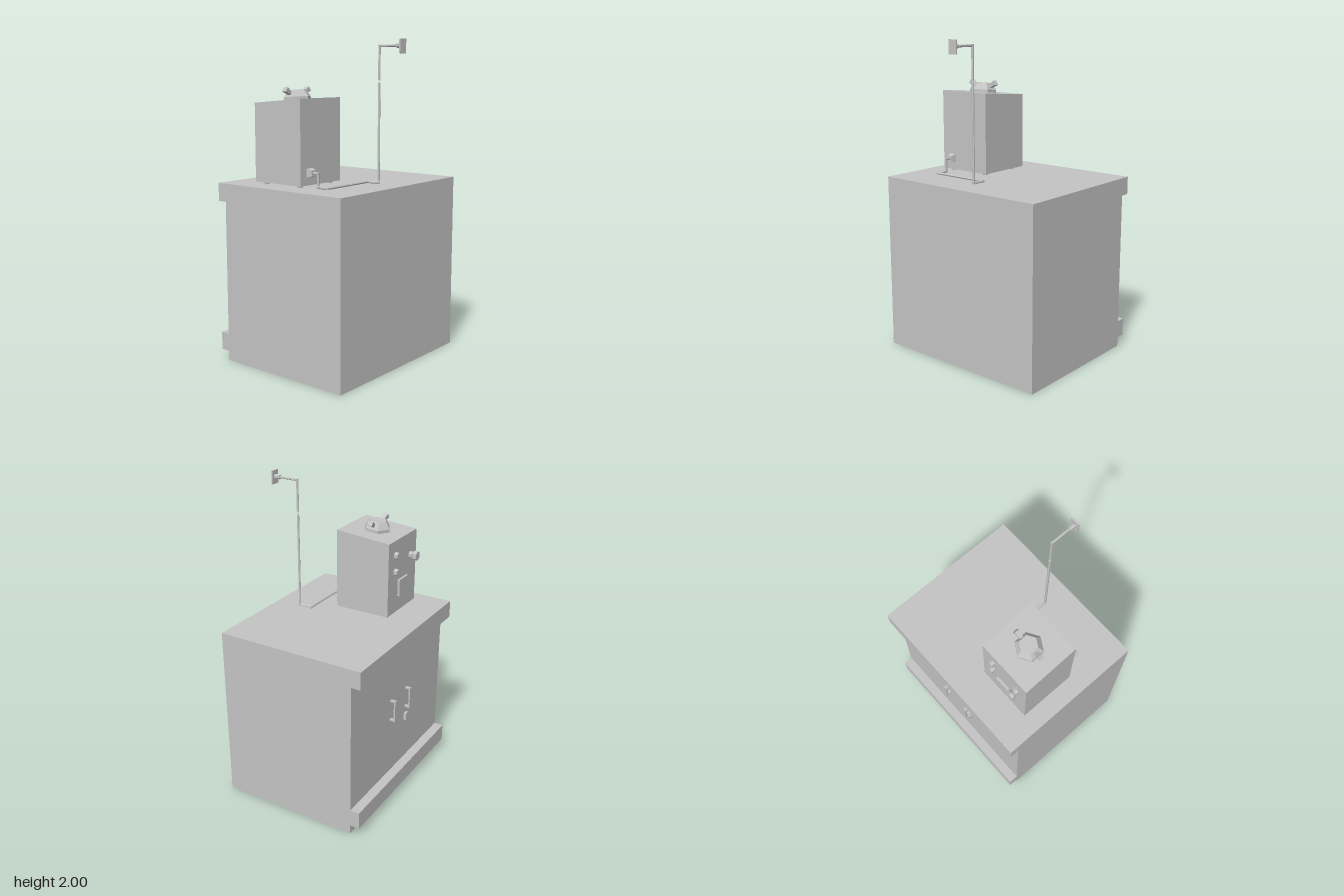
import * as THREE from 'three';

export function createModel() {
  const model = new THREE.Group();
  const grey = new THREE.MeshStandardMaterial({ color: 0xc4c4c4, flatShading: true });
  grey.name = 'light grey';

  const add = (name, geometry, x = 0, y = 0, z = 0, parent = model) => {
    const mesh = new THREE.Mesh(geometry, grey);
    mesh.name = name;
    mesh.position.set(x, y, z);
    parent.add(mesh);
    return mesh;
  };
  // box given by its limits on each axis
  const block = (name, [x0, x1], [y0, y1], [z0, z1], parent) =>
    add(name, new THREE.BoxGeometry(x1 - x0, y1 - y0, z1 - z0),
      (x0 + x1) / 2, (y0 + y1) / 2, (z0 + z1) / 2, parent);
  // side profile of [z, y] points, extruded from x0 to x1
  const sideExtrude = (points, x0, x1) => {
    const shape = new THREE.Shape(points.map(([z, y]) => new THREE.Vector2(-z, y)));
    return new THREE.ExtrudeGeometry(shape, { depth: x1 - x0, bevelEnabled: false })
      .rotateY(Math.PI / 2).translate(x0, 0, 0);
  };
  const group = (name) => {
    const g = new THREE.Group();
    g.name = name;
    model.add(g);
    return g;
  };

  // Cabinet with a projecting top edge and lower rail on the door side
  const W = 0.585, D = 0.486, top = 1.13;
  add('cabinetBody', sideExtrude([
    [D, 0.06], [D, top], [-D, top], [-D, 1.017], [-0.425, 1.017],
    [-0.425, 0.173], [-D, 0.173], [-D, 0.06],
  ], -W, W));

  // Thin skirt around the recessed underside
  const skirt = group('cabinetSkirt');
  const t = 0.006;
  block('skirtFront', [-W, W], [0, 0.06], [D - t, D], skirt);
  block('skirtBack', [-W, W], [0, 0.06], [-0.425, -0.425 + t], skirt);
  for (const s of [-1, 1]) {
    const xs = [s * W, s * (W - t)].sort((a, b) => a - b);
    block('skirtSide', xs, [0, 0.06], [-0.425 + t, D - t], skirt);
  }

  // Door handles and lock
  for (const x of [-0.1, 0.1]) {
    const handle = group('doorHandle');
    const xs = [x - 0.01, x + 0.01];
    block('handleGrip', xs, [0.555, 0.7], [-0.462, -0.452], handle);
    for (const y of [0.555, 0.69]) block('handlePost', xs, [y, y + 0.01], [-0.452, -0.42], handle);
  }
  block('doorLock', [-0.115, -0.085], [0.461, 0.511], [-0.442, -0.42]);

  // Machine housing with a sloping top, on four feet
  add('housing', sideExtrude([
    [0.092, 1.145], [0.092, 1.656], [-0.275, 1.624], [-0.275, 1.145],
  ], -0.47, -0.105));
  for (const x of [-0.425, -0.152]) for (const z of [0.047, -0.225])
    add('foot', new THREE.CylinderGeometry(0.018, 0.014, 0.018, 6), x, 1.138, z);

  // Hexagonal lid with two square flared grips
  const lid = group('lid');
  lid.position.set(-0.288, 1.639, -0.092);
  lid.rotation.x = -0.087;
  add('lidRim', new THREE.CylinderGeometry(0.086, 0.086, 0.02, 6), 0, 0.01, 0, lid);
  add('lidCap', new THREE.CylinderGeometry(0.056, 0.086, 0.042, 6), 0, 0.041, 0, lid);
  for (const s of [-1, 1]) {
    const grip = add('lidGrip', new THREE.CylinderGeometry(0.023, 0.011, 0.066, 4).rotateY(Math.PI / 4),
      s * 0.076, 0.049, 0, lid);
    grip.rotation.z = -s * 1.0;
  }

  // Control knobs and plate on the back of the housing
  const knob = (name, rOuter, rInner, length, x, y, z) =>
    add(name, new THREE.CylinderGeometry(rOuter, rInner, length, 6).rotateX(-Math.PI / 2), x, y, z - length / 2);
  for (const y of [1.531, 1.423]) knob('smallKnob', 0.022, 0.022, 0.026, -0.19, y, -0.274);
  knob('largeKnobStem', 0.022, 0.024, 0.022, -0.389, 1.476, -0.274);
  knob('largeKnobNeck', 0.031, 0.022, 0.014, -0.389, 1.476, -0.296);
  knob('largeKnobCap', 0.031, 0.031, 0.02, -0.389, 1.476, -0.31);
  block('controlPlate', [-0.344, -0.231], [1.247, 1.357], [-0.29, -0.27]);

  // Square tapered outlet on the front
  add('outlet', new THREE.CylinderGeometry(0.025, 0.038, 0.032, 4)
    .rotateY(Math.PI / 4).rotateX(Math.PI / 2), -0.39, 1.219, 0.108);

  // Pipe running from the outlet across the worktop and up to the flange
  const pipe = group('pipe');
  const px = -0.39, qx = -0.007, low = 1.138, r = 0.008;
  const runs = [
    [[px, 1.219, 0.12], [px, 1.219, 0.158], [px, low, 0.158], [px, low, 0.232],
      [qx, low, 0.232], [qx, low, 0.315], [qx, 1.744, 0.315]],
    [[qx, 1.757, 0.315], [qx, 1.961, 0.315], [qx, 1.961, 0.478]],
  ];
  for (const run of runs) {
    const pts = run.map((p) => new THREE.Vector3(...p));
    for (let i = 1; i < pts.length; i++) {
      const dir = pts[i].clone().sub(pts[i - 1]);
      // extend past inner corners so the bends close
      const a = i > 1 ? r * 0.8 : 0, b = i < pts.length - 1 ? r * 0.8 : 0;
      const length = dir.length();
      dir.normalize();
      const mid = pts[i - 1].clone().addScaledVector(dir, (length + b - a) / 2);
      const seg = add('pipeSection', new THREE.CylinderGeometry(r, r, length + a + b, 6), mid.x, mid.y, mid.z, pipe);
      seg.quaternion.setFromUnitVectors(new THREE.Vector3(0, 1, 0), dir);
    }
  }
  add('flangeCollar', new THREE.CylinderGeometry(0.015, 0.015, 0.036, 6).rotateX(Math.PI / 2), qx, 1.961, 0.46);
  block('flangePlate', [qx - 0.03, qx + 0.03], [1.915, 2], [0.478, D]);

  return model;
}
